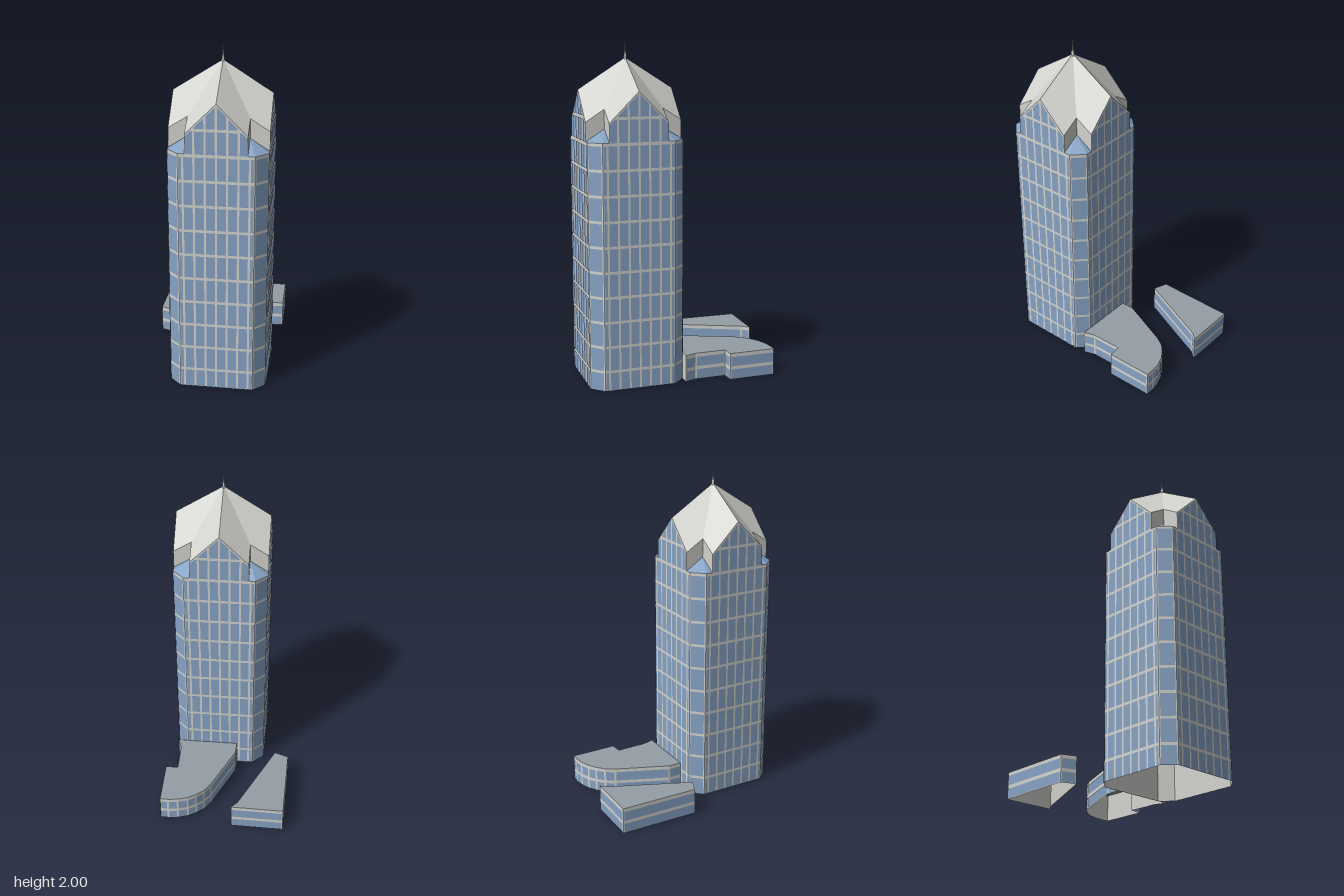
import * as THREE from 'three';

const mat = (name, color) => {
  const m = new THREE.MeshStandardMaterial({ color, side: THREE.DoubleSide });
  m.name = name;
  return m;
};

// Flat faces from corner lists, fan-triangulated counterclockwise
function faces(polys) {
  const pos = [];
  for (const p of polys)
    for (let i = 1; i < p.length - 1; i++) pos.push(...p[0], ...p[i], ...p[i + 1]);
  const g = new THREE.BufferGeometry();
  g.setAttribute('position', new THREE.Float32BufferAttribute(pos, 3));
  g.computeVertexNormals();
  return g;
}

// Upright rectangle above the plan edge a -> b ([x, z] points), inset at the ends and pushed outward
function upright(a, b, y0, y1, inset = 0, out = 0) {
  const dx = b[0] - a[0], dz = b[1] - a[1], L = Math.hypot(dx, dz);
  const ux = dx / L, uz = dz / L;
  const at = (s, y) => [a[0] + ux * s - uz * out, y, a[1] + uz * s + ux * out];
  return [at(inset, y0), at(L - inset, y0), at(L - inset, y1), at(inset, y1)];
}

export function createModel() {
  const stone = mat('pale stone', 0xd2d2ce);
  const glass = mat('blue glass', 0x86a2c4);
  const slate = mat('slate roof', 0x949ea6);
  const root = new THREE.Group();
  root.name = 'officeTower';
  const add = (parent, name, geo, material) => {
    const m = new THREE.Mesh(geo, material);
    m.name = name;
    parent.add(m);
    return m;
  };

  // Tower dimensions: half width, chamfer start, half width of a roof arm
  const H = 0.284, C = 0.214, A = 0.174;
  const top = 1.45, peak = 1.735, eave = 1.561, inner = 1.631, apex = 1.915, OUT = 0.003;

  // Storey rows between the horizontal bands, and window columns between the mullions
  const band = k => 0.117 + 0.147 * k;
  const rows = [[0, band(0) - 0.008]];
  for (let k = 0; k < 9; k++) rows.push([band(k) + 0.008, band(k + 1) - 0.008]);
  const columns = [];
  for (let i = 0; i < 4; i++) columns.push([i * 0.062 + 0.006, Math.min((i + 1) * 0.062 - 0.006, C - 0.005)]);

  // Window panes of one side
  const panes = [], chamferPanes = [];
  for (const [y0, y1] of rows) {
    for (const [u0, u1] of columns)
      for (const [l, r] of [[u0, u1], [-u1, -u0]]) panes.push(upright([l, H], [r, H], y0, y1, 0, OUT));
    chamferPanes.push(upright([C, H], [H, C], y0, y1, 0.007, OUT));
  }

  // Gable panes are cut off along the sloping verge
  const verge = peak - 0.012;
  for (const [y0, y1] of [[top, band(10) - 0.008], [band(10) + 0.008, peak]])
    for (const [u0, uEnd] of columns) {
      const u1 = Math.min(uEnd, A - 0.004, verge - y0);
      if (u1 <= u0) continue;
      const us = [u1, verge - y1, u0].filter(u => u >= u0 && u <= u1);
      const pts = [[u0, y0], [u1, y0], ...us.map(u => [u, Math.min(y1, verge - u)])];
      panes.push(pts.map(([u, y]) => [u, y, H + OUT]));
      panes.push(pts.map(([u, y]) => [-u, y, H + OUT]).reverse());
    }

  const mirror = p => p.map(([x, y, z]) => [-x, y, z]).reverse();
  const notch = [[A, top, H], [A, top, A], [A, inner, A], [A, eave, H]];
  const slope = [[0, apex, 0], [0, peak, H], [A, eave, H], [A, inner, A]];
  const tip = [A, 1.52, A];
  const parts = {
    shaftWall: [faces([upright([-C, H], [C, H], 0, top), upright([C, H], [H, C], 0, top)]), stone],
    gableWall: [faces([[[-A, top, H], [A, top, H], [A, eave, H], [0, peak, H], [-A, eave, H]]]), stone],
    notchWalls: [faces([notch, mirror(notch)]), stone],
    roofSlopes: [faces([slope, mirror(slope)]), stone],
    windows: [faces(panes), glass],
    chamferWindows: [faces(chamferPanes), glass],
    cornerSkylight: [faces([
      [[A, top, H], [C, top, H], tip],
      [[C, top, H], [H, top, C], tip],
      [[H, top, C], [H, top, A], tip],
    ]), glass],
  };

  // Four equal sides around the tower axis
  const tower = new THREE.Group();
  tower.name = 'tower';
  tower.position.set(0.062, 0, 0.289);
  for (let i = 0; i < 4; i++) {
    const side = new THREE.Group();
    side.name = 'towerSide';
    side.rotation.y = i * Math.PI / 2;
    for (const [name, [geo, material]] of Object.entries(parts)) add(side, name, geo, material);
    tower.add(side);
  }
  // Spire
  const base = add(tower, 'spireBase', new THREE.CylinderGeometry(0.008, 0.012, 0.035, 4), stone);
  base.position.y = 1.918;
  const needle = add(tower, 'spireNeedle', new THREE.CylinderGeometry(0.001, 0.006, 0.066, 4), stone);
  needle.position.y = 1.967;
  base.rotation.y = needle.rotation.y = Math.PI / 4;
  root.add(tower);

  // Low buildings: open-bottomed walls, two strips of windows, flat roof
  function lowBuilding(name, plan, h) {
    const g = new THREE.Group();
    g.name = name;
    const walls = [], strips = [];
    plan.forEach((a, i) => {
      const b = plan[(i + 1) % plan.length];
      walls.push(upright(a, b, 0, h));
      if (a[1] > 0 && b[1] > 0) return; // side against the tower
      for (const [y0, y1] of [[0.004, 0.062], [0.082, 0.14]]) strips.push(upright(a, b, y0, y1, 0.006, OUT));
    });
    add(g, 'walls', faces(walls), stone);
    add(g, 'windowStrips', faces(strips), glass);
    const roof = new THREE.ShapeGeometry(new THREE.Shape(plan.map(([x, z]) => new THREE.Vector2(x, -z))));
    add(g, 'flatRoof', roof.rotateX(-Math.PI / 2), slate).position.y = h;
    root.add(g);
  }
  lowBuilding('curvedAnnex', [
    [-0.047, 0.005], [0.34, 0.005], [0.316, -0.065], [0.312, -0.255], [0.388, -0.26], [0.384, -0.545],
    [0.335, -0.547], [0.275, -0.54], [0.215, -0.52], [0.165, -0.49], [0.12, -0.45], [0.085, -0.395], [-0.047, -0.08],
  ], 0.162);
  lowBuilding('wedgeAnnex', [
    [-0.392, -0.095], [-0.305, -0.062], [-0.1, -0.53], [-0.062, -0.575], [-0.385, -0.58],
  ], 0.162);

  return root;
}
